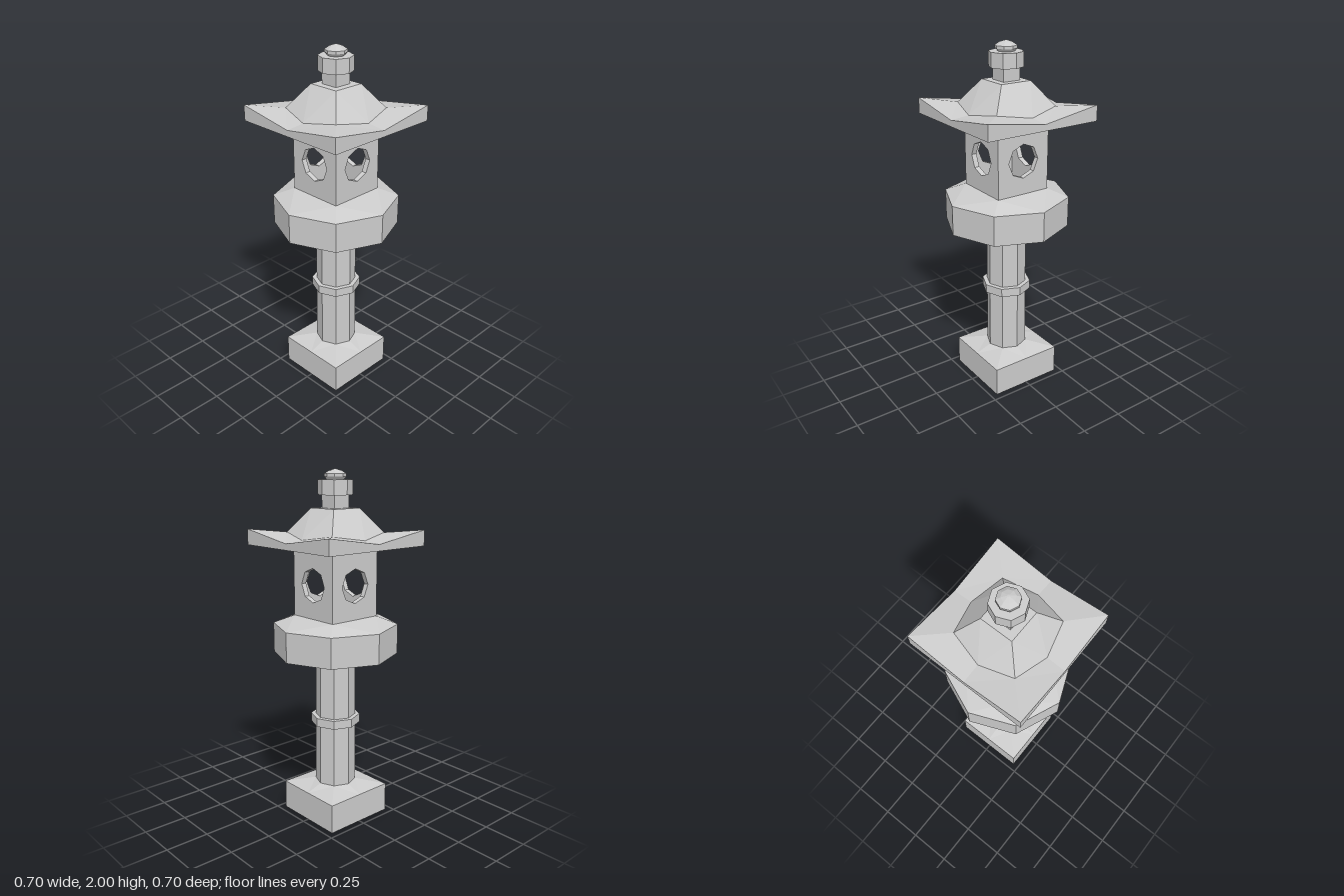
import * as THREE from 'three';

const material = new THREE.MeshStandardMaterial({ color: 0xcccccc, flatShading: true });

// Ring of eight points: a = reach along the axes, c = x and z of the diagonal points
const ring = (a, c, yAxis, yCorner = yAxis) =>
  Array.from({ length: 8 }, (_, k) => {
    const t = (k * Math.PI) / 4;
    const r = k % 2 ? c * Math.SQRT2 : a;
    return [Math.sin(t) * r, k % 2 ? yCorner : yAxis, Math.cos(t) * r];
  });
const octagon = (r, y) => ring(r, r * Math.SQRT1_2, y);
const square = (h, y, yCorner) => ring(h, h, y, yCorner);

// Closed faceted solid through rings listed from bottom to top
function loft(name, rings) {
  const pos = [];
  const tri = (...pts) => pts.forEach((p) => pos.push(...p));
  const first = rings[0];
  const last = rings[rings.length - 1];
  for (let k = 0; k < 8; k++) {
    const n = (k + 1) % 8;
    for (let i = 0; i + 1 < rings.length; i++) {
      const [lo, up] = [rings[i], rings[i + 1]];
      // mirrored diagonals keep the facets symmetrical
      if (k % 2) {
        tri(lo[k], lo[n], up[k]);
        tri(lo[n], up[n], up[k]);
      } else {
        tri(lo[k], lo[n], up[n]);
        tri(lo[k], up[n], up[k]);
      }
    }
    tri([0, first[0][1], 0], first[n], first[k]);
    tri([0, last[0][1], 0], last[k], last[n]);
  }
  const geometry = new THREE.BufferGeometry();
  geometry.setAttribute('position', new THREE.Float32BufferAttribute(pos, 3));
  geometry.computeVertexNormals();
  const mesh = new THREE.Mesh(geometry, material);
  mesh.name = name;
  return mesh;
}

// Wall panel with an octagonal window, outer face at z = 0
function wallGeometry(halfWidth, thickness) {
  const [y0, y1, windowY, windowR] = [1.2, 1.567, 1.387, 0.095];
  const shape = new THREE.Shape([
    new THREE.Vector2(-halfWidth, y0), new THREE.Vector2(halfWidth, y0),
    new THREE.Vector2(halfWidth, y1), new THREE.Vector2(-halfWidth, y1),
  ]);
  const hole = Array.from({ length: 8 }, (_, k) => {
    const t = (-k * Math.PI) / 4;
    return new THREE.Vector2(Math.cos(t) * windowR, windowY + Math.sin(t) * windowR);
  });
  shape.holes.push(new THREE.Path(hole));
  return new THREE.ExtrudeGeometry(shape, { depth: thickness, bevelEnabled: false })
    .translate(0, 0, -thickness);
}

export function createModel() {
  const model = new THREE.Group();
  model.name = 'stoneLantern';

  model.add(
    loft('base', [square(0.213, 0), square(0.213, 0.17), octagon(0.117, 0.203)]),
    loft('shaft', [octagon(0.117, 0.2), octagon(0.113, 0.925)]),
    loft('shaftBand', [octagon(0.141, 0.565), octagon(0.141, 0.615)]),
    loft('platform', [
      octagon(0.113, 0.918), octagon(0.352, 0.985),
      octagon(0.352, 1.155), square(0.163, 1.2),
    ]),
  );

  // Hollow light chamber with a window on each side
  const chamber = new THREE.Group();
  chamber.name = 'lightChamber';
  const half = 0.163;
  const thickness = 0.03;
  for (let i = 0; i < 4; i++) {
    const wall = new THREE.Mesh(wallGeometry(i % 2 ? half - thickness : half, thickness), material);
    wall.name = 'windowWall';
    wall.rotation.y = (i * Math.PI) / 2;
    wall.position.set(Math.sin(wall.rotation.y) * half, 0, Math.cos(wall.rotation.y) * half);
    chamber.add(wall);
  }
  model.add(chamber);

  // Roof with eaves rising to the corners
  model.add(loft('roof', [
    square(0.163, 1.567), square(0.343, 1.593), square(0.343, 1.627, 1.68),
    ring(0.236, 0.188, 1.637, 1.665), square(0.093, 1.795),
  ]));

  // Finial
  model.add(
    loft('finialNeck', [square(0.052, 1.79), square(0.052, 1.87)]),
    loft('finialCollar', [octagon(0.095, 1.865), octagon(0.095, 1.945)]),
    loft('finialKnob', [
      octagon(0.042, 1.94), octagon(0.06, 1.96), octagon(0.06, 1.975),
      octagon(0.036, 1.991), octagon(0.006, 2),
    ]),
  );
  return model;
}
